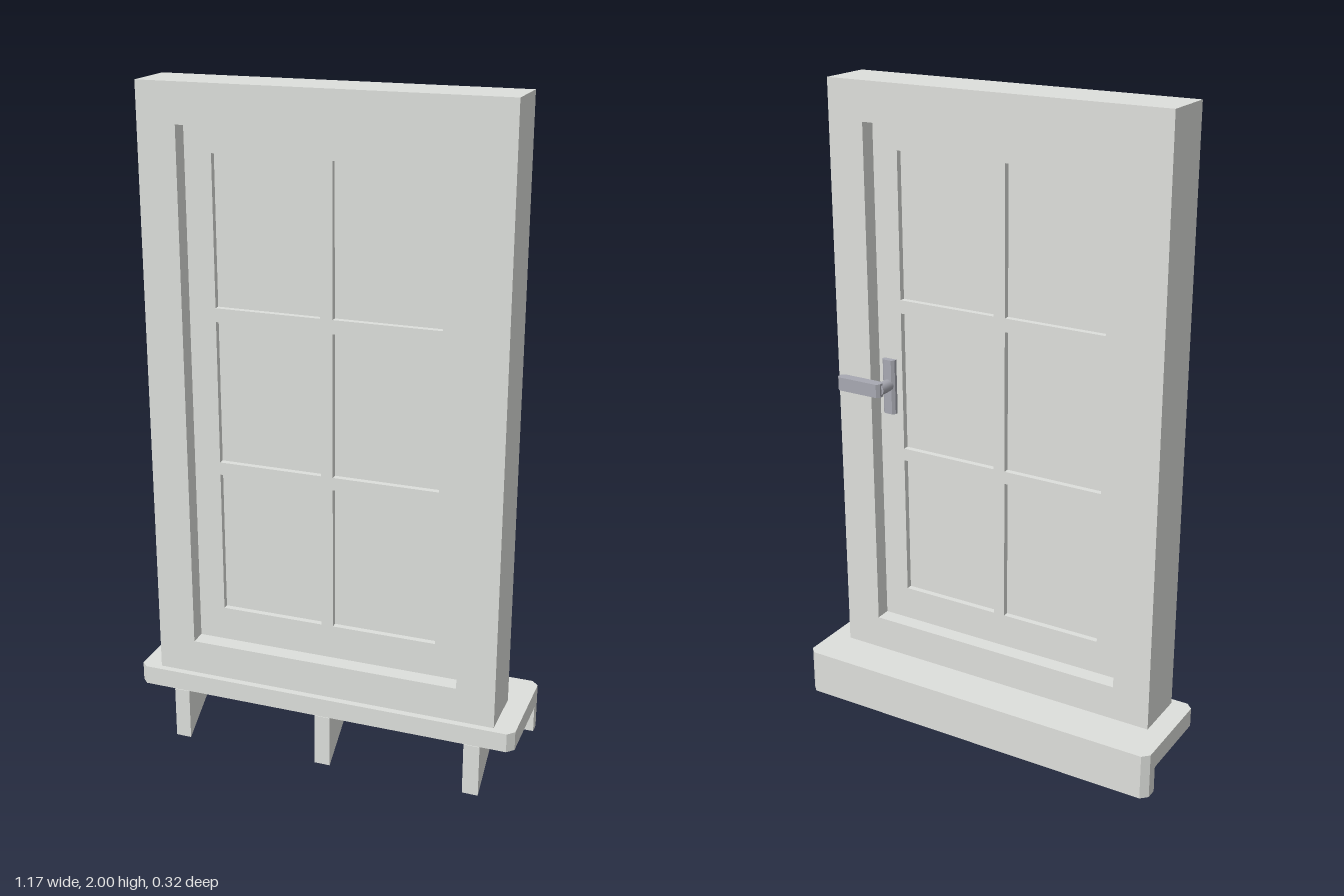
import * as THREE from 'three';

const paint = new THREE.MeshStandardMaterial({ name: 'palePaint', color: 0xdee0dc });
const metal = new THREE.MeshStandardMaterial({ name: 'greyMetal', color: 0xa8a9b2 });

const polygon = (points) => new THREE.Shape(points.map(([x, y]) => new THREE.Vector2(x, y)));
const rect = (x0, x1, y0, y1) => [[x0, y0], [x1, y0], [x1, y1], [x0, y1]];

// Rectangle with its corners cut; the low-y pair and the high-y pair are cut separately.
const cutRect = (x0, x1, y0, y1, low, high = low) => {
  const points = [[x0 + low, y0], [x1 - low, y0]];
  if (low) points.push([x1, y0 + low]);
  points.push([x1, y1 - high]);
  if (high) points.push([x1 - high, y1], [x0 + high, y1]);
  points.push([x0, y1 - high]);
  if (low) points.push([x0, y0 + low]);
  return points;
};

const extrude = (points, depth, holes = []) => {
  const shape = polygon(points);
  holes.forEach((hole) => shape.holes.push(polygon(hole)));
  return new THREE.ExtrudeGeometry(shape, { depth, bevelEnabled: false });
};
// Upright slab from z0 to z1
const slab = (points, z0, z1, holes) => extrude(points, z1 - z0, holes).translate(0, 0, z0);
// Plan outline (x, z) running from y0 up to y1
const plan = (points, y0, y1) => extrude(points, y1 - y0).rotateX(Math.PI / 2).translate(0, y1, 0);

export function createModel() {
  const model = new THREE.Group();
  model.name = 'window';
  const add = (name, geometry, material, parent = model) => {
    const mesh = new THREE.Mesh(geometry, material);
    mesh.name = name;
    parent.add(mesh);
    return mesh;
  };

  // Outer frame around the opening
  const opening = rect(-0.41, 0.41, 0.342, 1.887);
  add('frame', slab(rect(-0.524, 0.524, 0.237, 2), -0.026, 0.14, [opening]), paint);

  // Sash with six openings, and the panes set inside it
  const columns = [[-0.33, -0.018], [0.018, 0.33]];
  const rows = [[0.445, 0.877], [0.915, 1.337], [1.377, 1.808]];
  const lights = columns.flatMap(([x0, x1]) => rows.map(([y0, y1]) => rect(x0, x1, y0, y1)));
  add('sash', slab(opening, 0.022, 0.09, lights), paint);
  lights.forEach((light, i) => add(`pane${i + 1}`, slab(light, 0.04, 0.072), paint));

  // Sill board with cut corners, and the deeper lip along its back edge
  add('sill', plan(cutRect(-0.587, 0.587, -0.16, 0.16, 0.02), 0.179, 0.237), paint);
  add('sillLip', plan(cutRect(-0.587, 0.587, -0.16, -0.107, 0.02, 0), 0.098, 0.179), paint);

  // Triangular brackets under the sill
  for (const x of [-0.46, 0, 0.46]) {
    const bracket = extrude([[0.136, 0], [0.136, 0.162], [-0.107, 0.162]], 0.048);
    add('bracket', bracket.translate(0, 0, -0.024).rotateY(-Math.PI / 2).translate(x, 0, 0), paint);
  }

  // Handle on the back of the sash
  const handle = new THREE.Group();
  handle.name = 'handle';
  model.add(handle);
  add('handlePlate', plan(cutRect(0.35, 0.392, 0.004, 0.023, 0.008, 0), 1.025, 1.193), metal, handle);
  add('handleStem', new THREE.CylinderGeometry(0.018, 0.018, 0.052, 12)
    .rotateX(Math.PI / 2).translate(0.37, 1.115, -0.019), metal, handle);
  add('handleLever', plan(cutRect(0.36, 0.51, -0.06, -0.029, 0.009), 1.095, 1.136), metal, handle);

  return model;
}
